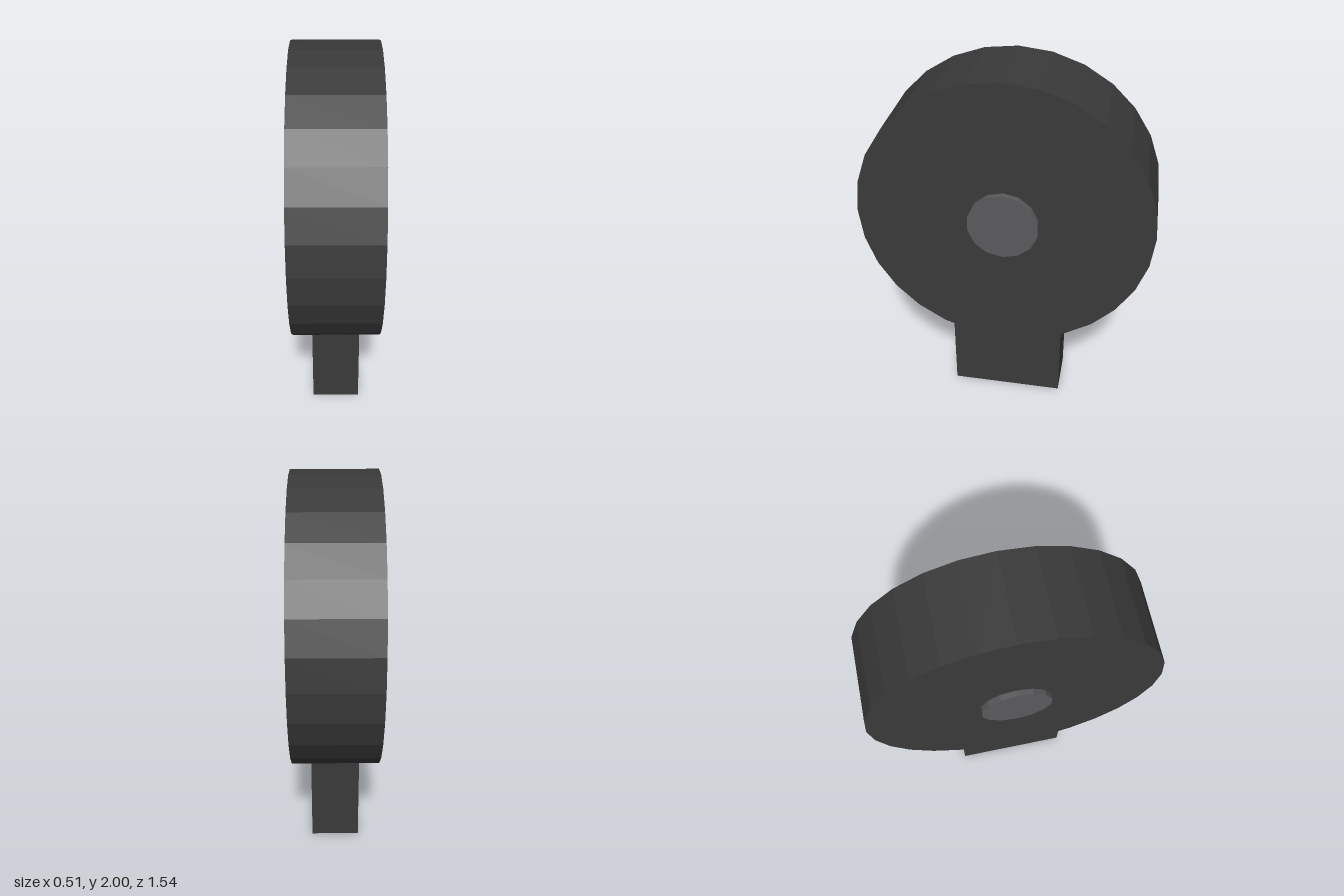
import * as THREE from 'three';

const dark = new THREE.MeshStandardMaterial({ color: 0x3a3a3a, flatShading: true });
const steel = new THREE.MeshStandardMaterial({ color: 0x5a5a5d, flatShading: true });
const AXLE_Y = 1.23;

// Disc lying across the x axis, with a corner pointing straight up
function disc(name, radius, width, sides, material) {
  const geometry = new THREE.CylinderGeometry(radius, radius, width, sides, 1, false, Math.PI / 2);
  geometry.rotateZ(Math.PI / 2);
  const mesh = new THREE.Mesh(geometry, material);
  mesh.name = name;
  mesh.position.y = AXLE_Y;
  return mesh;
}

export function createModel() {
  const model = new THREE.Group();
  model.name = 'wheelOnPost';

  // Thick faceted wheel
  model.add(disc('wheel', 0.77, 0.45, 28, dark));

  // Hub running through the wheel, standing slightly proud on both sides
  model.add(disc('hub', 0.185, 0.51, 14, steel));

  // Rectangular post, its top buried in the wheel
  const height = 0.62;
  const post = new THREE.Mesh(new THREE.BoxGeometry(0.26, height, 0.62), dark);
  post.name = 'post';
  post.position.y = height / 2;
  model.add(post);

  return model;
}
